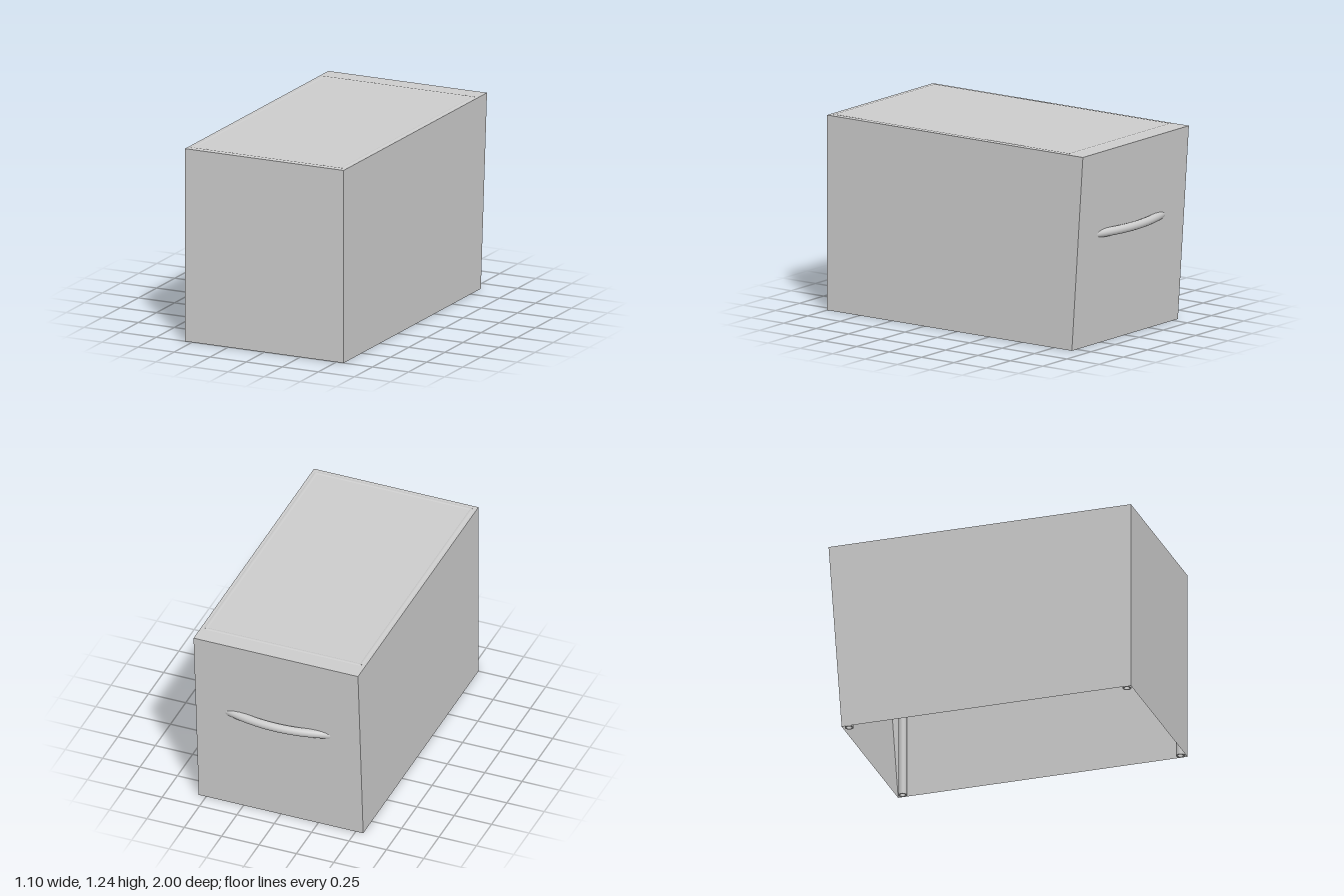
import * as THREE from 'three';

const W = 0.55, H = 1.24, FRONT = 1, BACK_LOW = -0.89, BACK_TOP = -0.975;
const R = 0.027; // frame pipe radius

export function createModel() {
  const group = new THREE.Group();
  const grey = new THREE.MeshStandardMaterial({ color: 0xcccccc });
  const thin = new THREE.MeshStandardMaterial({ color: 0xcccccc, side: THREE.DoubleSide });

  const add = (name, geometry, material = grey) => {
    const mesh = new THREE.Mesh(geometry, material);
    mesh.name = name;
    group.add(mesh);
    return mesh;
  };

  // Thin four-cornered panel, corners counter-clockwise from outside
  const panel = (name, a, b, c, d) => {
    const g = new THREE.BufferGeometry();
    g.setAttribute('position', new THREE.Float32BufferAttribute([a, b, c, a, c, d].flat(), 3));
    g.computeVertexNormals();
    add(name, g, thin);
  };

  // Cover: four walls and a top, open underneath, back wall leaning outwards
  const corner = (x, top, back) => [x * W, top ? H : 0, back ? (top ? BACK_TOP : BACK_LOW) : FRONT];
  panel('frontPanel', corner(-1, 0, 0), corner(1, 0, 0), corner(1, 1, 0), corner(-1, 1, 0));
  panel('backPanel', corner(1, 0, 1), corner(-1, 0, 1), corner(-1, 1, 1), corner(1, 1, 1));
  panel('leftPanel', corner(1, 0, 0), corner(1, 0, 1), corner(1, 1, 1), corner(1, 1, 0));
  panel('rightPanel', corner(-1, 0, 1), corner(-1, 0, 0), corner(-1, 1, 0), corner(-1, 1, 1));
  panel('topPanel', corner(-1, 1, 0), corner(1, 1, 0), corner(1, 1, 1), corner(-1, 1, 1));

  // Hollow pipe between two points
  const pipe = (name, from, to) => {
    const a = new THREE.Vector3(...from), b = new THREE.Vector3(...to);
    const h = a.distanceTo(b) / 2, inner = R * 0.7;
    // Doubled corners keep the rims sharp
    const outline = [[inner, h], [inner, -h], [inner, -h], [R, -h], [R, -h], [R, h], [R, h], [inner, h]];
    const profile = outline.map(([x, y]) => new THREE.Vector2(x, y));
    const mesh = add(name, new THREE.LatheGeometry(profile, 20), thin);
    mesh.position.addVectors(a, b).multiplyScalar(0.5);
    mesh.quaternion.setFromUnitVectors(new THREE.Vector3(0, 1, 0), b.sub(a).normalize());
  };

  // Inner frame: corner posts and top rails
  const px = 0.521, zf = 0.965, zb = -0.85, railY = 1.216;
  for (const s of [-1, 1]) {
    pipe('frontPost', [s * px, 0, zf], [s * px, railY, zf]);
    pipe('backPost', [s * px, 0, zb], [s * px, railY, zb]);
    pipe('sideRail', [s * px, railY, zb], [s * px, railY, zf]);
  }
  pipe('frontRail', [-px, railY, zf], [px, railY, zf]);
  pipe('backRail', [-px, railY, zb], [px, railY, zb]);

  // Bowed handle emerging from the back panel
  const points = [];
  for (let i = -4; i <= 4; i++) {
    const x = i * 0.095;
    points.push(new THREE.Vector3(x, 0.708, -0.973 + 0.5 * x * x));
  }
  add('handle', new THREE.TubeGeometry(new THREE.CatmullRomCurve3(points), 24, R, 16), thin);

  return group;
}
